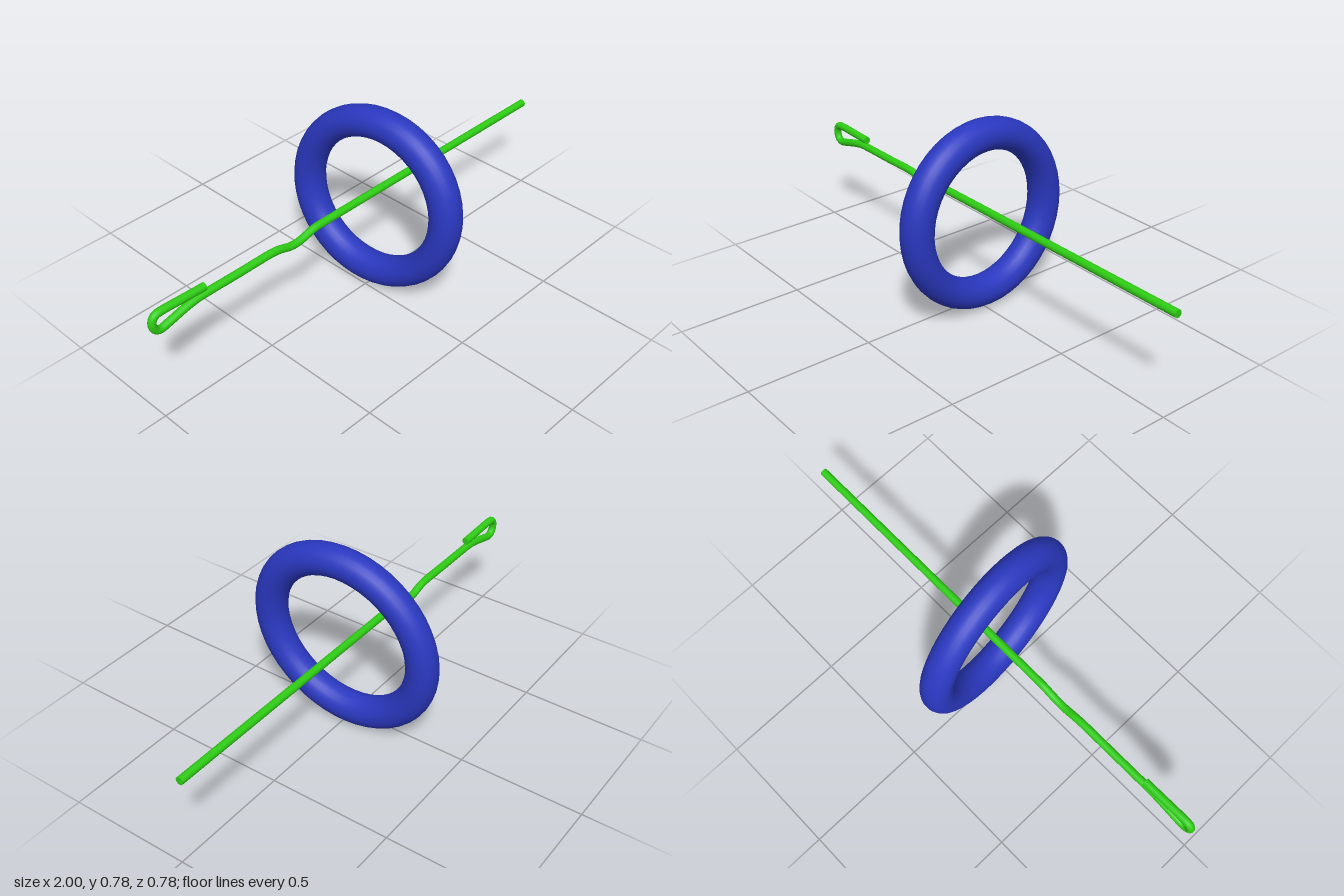
import * as THREE from 'three';

const WIRE_RADIUS = 0.0155;
const WIRE_Z = -0.031;

// Stretched, slightly turned ring
function createRing(material) {
  const ring = new THREE.Mesh(new THREE.TorusGeometry(0.328, 0.063, 24, 48), material);
  ring.name = 'ring';
  const normal = new THREE.Vector3(1, -0.026, -0.081).normalize();
  const longAxis = new THREE.Vector3(0.107, 1, 1).normalize();
  const shortAxis = new THREE.Vector3().crossVectors(normal, longAxis);
  ring.quaternion.setFromRotationMatrix(new THREE.Matrix4().makeBasis(longAxis, shortAxis, normal));
  ring.scale.set(1.046, 0.954, 1);
  ring.position.set(0.0535, 0.395, 0);
  return ring;
}

// Straight shaft, shallow kink, then a hook folded back over itself
function createWire(material) {
  const wire = new THREE.Group();
  wire.name = 'wire';
  const path = new THREE.CatmullRomCurve3([
    [1, 0.392], [0.4, 0.392], [-0.19, 0.392], [-0.235, 0.391], [-0.265, 0.384], [-0.305, 0.374],
    [-0.335, 0.371], [-0.365, 0.374], [-0.41, 0.387], [-0.445, 0.392], [-0.6, 0.392],
    [-0.78, 0.392], [-0.81, 0.389], [-0.85, 0.381], [-0.93, 0.36], [-0.95, 0.356],
    [-0.97, 0.362], [-0.982, 0.38], [-0.984, 0.4], [-0.977, 0.418], [-0.963, 0.427],
    [-0.94, 0.429], [-0.85, 0.426], [-0.757, 0.423],
  ].map(([x, y]) => new THREE.Vector3(x, y, WIRE_Z)));

  const rod = new THREE.Mesh(new THREE.TubeGeometry(path, 240, WIRE_RADIUS, 16), material);
  rod.name = 'wireRod';
  wire.add(rod);

  // Flat discs closing both cut ends
  [0, 1].forEach((t) => {
    const cap = new THREE.Mesh(new THREE.CircleGeometry(WIRE_RADIUS, 16), material);
    cap.name = t ? 'hookEndCap' : 'shaftEndCap';
    cap.position.copy(path.getPointAt(t));
    const outward = path.getTangentAt(t).multiplyScalar(t ? 1 : -1);
    cap.quaternion.setFromUnitVectors(new THREE.Vector3(0, 0, 1), outward);
    wire.add(cap);
  });
  return wire;
}

export function createModel() {
  const model = new THREE.Group();
  model.name = 'ringOnHookedWire';
  model.add(
    createRing(new THREE.MeshStandardMaterial({ color: 0x2a38c0 })),
    createWire(new THREE.MeshStandardMaterial({ color: 0x2ecc14 })),
  );
  return model;
}
